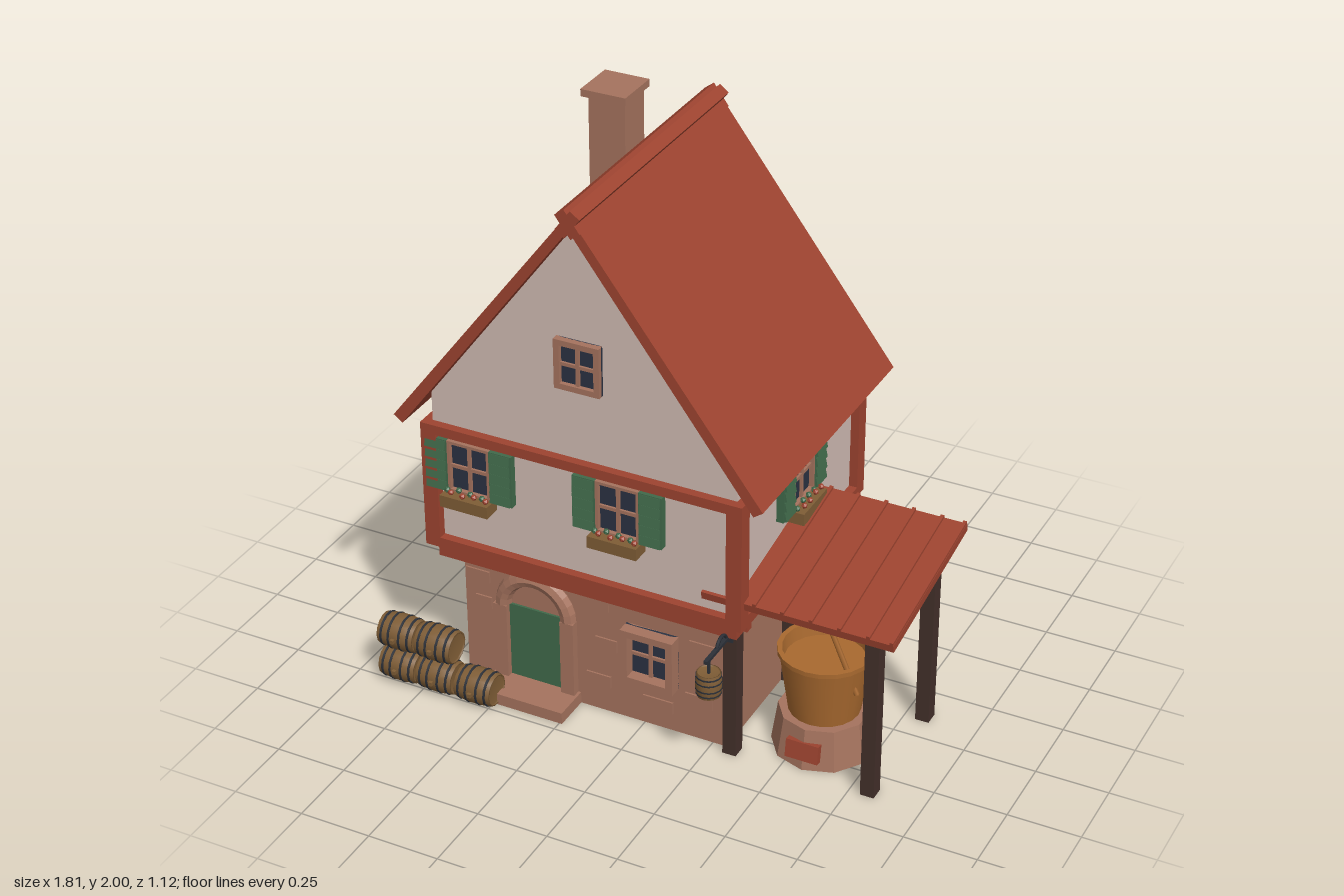
import * as THREE from 'three';

const mat = (name, color) => Object.assign(new THREE.MeshStandardMaterial({ color }), { name });

export function createModel() {
  const M = {
    plaster: mat('plaster', 0xd0bbb3),
    stone: mat('stone', 0xa5735e),
    red: mat('red timber and tile', 0x9e4430),
    green: mat('green paint', 0x40694a),
    glass: mat('window glass', 0x2b3242),
    wood: mat('barrel wood', 0x7f5d36),
    copper: mat('tub wood', 0xa8692f),
    dark: mat('dark post wood', 0x43302a),
    iron: mat('iron', 0x2c3038),
  };
  const root = new THREE.Group();
  const add = (geo, m, name, parent = root) => {
    const mesh = new THREE.Mesh(geo, m);
    mesh.name = name;
    parent.add(mesh);
    return mesh;
  };
  const group = (name, parent = root) => {
    const g = new THREE.Group();
    g.name = name;
    parent.add(g);
    return g;
  };
  // box given by its low and high limits on each axis
  const box = (m, name, x0, x1, y0, y1, z0, z1, parent) => {
    const b = add(new THREE.BoxGeometry(x1 - x0, y1 - y0, z1 - z0), m, name, parent);
    b.position.set((x0 + x1) / 2, (y0 + y1) / 2, (z0 + z1) / 2);
    return b;
  };
  const extrudeZ = (pts, z0, z1, m, name) => {
    const shape = new THREE.Shape(pts.map(p => new THREE.Vector2(...p)));
    const e = add(new THREE.ExtrudeGeometry(shape, { depth: z1 - z0, bevelEnabled: false }), m, name);
    e.position.z = z0;
    return e;
  };
  const CX = -0.185, CZ = -0.055;

  // ground floor, ledge and upper floor
  box(M.stone, 'groundFloor', -0.67, 0.30, 0, 0.49, -0.44, 0.33);
  box(M.red, 'floorLedge', -0.73, 0.36, 0.48, 0.535, -0.50, 0.39);
  box(M.plaster, 'upperFloor', -0.73, 0.36, 0.535, 1.0, -0.50, 0.39);
  for (const z of [0.275, 0.055, -0.16, -0.38])
    for (const s of [-1, 1])
      box(M.red, 'joistEnd', CX + s * 0.52 - 0.016, CX + s * 0.52 + 0.016, 0.445, 0.485, z - 0.016, z + 0.016);

  // timber frame around the upper floor
  const frame = group('timberFrame');
  for (const [y0, y1] of [[0.535, 0.572], [0.965, 1.0]]) {
    for (const z of [-0.53, 0.37]) box(M.red, 'longRail', -0.76, 0.39, y0, y1, z, z + 0.05, frame);
    for (const x of [-0.76, 0.34]) box(M.red, 'sideRail', x, x + 0.05, y0, y1, -0.53, 0.42, frame);
  }
  for (const x of [-0.76, 0.335])
    for (const z of [-0.53, 0.365]) box(M.red, 'cornerPost', x, x + 0.055, 0.572, 0.965, z, z + 0.055, frame);

  // gable, roof and ridge
  extrudeZ([[-0.73, 1.0], [0.36, 1.0], [0.36, 1.11], [CX, 1.84], [-0.73, 1.11]], -0.50, 0.39, M.plaster, 'gable');
  extrudeZ([[-0.81, 0.997], [CX, 1.835], [0.44, 0.997], [0.472, 1.02], [CX, 1.89], [-0.842, 1.02]],
    -0.555, 0.445, M.red, 'roof');
  for (const s of [-1, 1]) {
    const r = add(new THREE.BoxGeometry(0.09, 0.04, 1.012), M.red, 'ridgeBeam');
    r.position.set(CX, 1.858, CZ);
    r.rotation.z = s * 0.93;
  }
  box(M.stone, 'chimney', -0.44, -0.31, 1.3, 1.975, -0.29, -0.16);
  box(M.stone, 'chimneyCap', -0.46, -0.30, 1.975, 2.0, -0.31, -0.145);

  // framed four-pane window facing +z, with optional shutters and flower box
  function windowAt(x, y, z, turn, w, h, bar, depth, shutters) {
    const g = group('window');
    const a = w / 2, b = h / 2, t = 0.006;
    box(M.glass, 'glass', -a, a, -b, b, 0, 0.009, g);
    for (const s of [-1, 1]) {
      const xs = s * (a - bar / 2), ys = s * (b - bar / 2);
      box(M.stone, 'frameSide', xs - bar / 2, xs + bar / 2, -b, b, 0, depth, g);
      box(M.stone, 'frameRail', -a + bar, a - bar, ys - bar / 2, ys + bar / 2, 0, depth, g);
    }
    box(M.stone, 'mullion', -t, t, -b + bar, b - bar, 0, 0.018, g);
    box(M.stone, 'crossBar', -a + bar, a - bar, -t, t, 0, 0.017, g);
    if (shutters) {
      for (const s of [-1, 1]) {
        const c = s * (a + 0.041);
        box(M.green, 'shutter', c - 0.041, c + 0.041, -b, b, 0, 0.026, g);
        for (let i = 0; i < 5; i++) {
          const ys = -b + (i + 0.5) * h / 5;
          const slat = box(M.green, 'slat', c - 0.037, c + 0.037, ys - 0.016, ys + 0.016, 0.024, 0.032, g);
          slat.rotation.x = -0.2;
        }
      }
      box(M.wood, 'flowerBox', -0.088, 0.088, -b - 0.04, -b + 0.003, 0, 0.065, g);
      for (let i = 0; i < 8; i++) {
        const f = add(new THREE.IcosahedronGeometry(0.011, 0), i % 2 ? M.red : M.green, 'flower', g);
        f.position.set(-0.075 + i * 0.0214, -b + 0.011 + (i % 3) * 0.004, 0.035 + (i % 2) * 0.015);
      }
    }
    g.position.set(x, y, z);
    g.rotation.y = turn;
  }
  const upper = (x, z, turn) => windowAt(x, 0.857, z, turn, 0.155, 0.19, 0.01, 0.025, true);
  upper(-0.59, 0.39, 0);
  upper(-0.05, 0.39, 0);
  upper(-0.05, -0.50, Math.PI);
  upper(0.36, CZ, Math.PI / 2);
  upper(-0.73, CZ, -Math.PI / 2);
  windowAt(CX, 1.343, 0.39, 0, 0.16, 0.175, 0.02, 0.025);
  windowAt(CX, 1.343, -0.50, Math.PI, 0.16, 0.175, 0.02, 0.025);
  windowAt(0.03, 0.278, 0.33, 0, 0.19, 0.205, 0.025, 0.05);

  // doorway with arch, jambs and step
  box(M.green, 'door', -0.50, -0.30, 0.04, 0.325, 0.33, 0.338);
  for (const x of [-0.55, -0.30]) box(M.stone, 'doorJamb', x, x + 0.05, 0.04, 0.325, 0.33, 0.36);
  const arch = add(new THREE.TorusGeometry(0.122, 0.029, 8, 14, Math.PI), M.stone, 'doorArch');
  arch.position.set(-0.40, 0.325, 0.335);
  box(M.stone, 'doorStep', -0.56, -0.24, 0, 0.042, 0.33, 0.465);

  // raised stones in the front wall
  for (const [x, y, w] of [[-0.62, 0.40, 0.09], [-0.60, 0.30, 0.06], [-0.18, 0.42, 0.1], [-0.14, 0.27, 0.08],
    [-0.17, 0.12, 0.09], [0.05, 0.09, 0.11], [0.2, 0.15, 0.1], [0.21, 0.36, 0.09]])
    box(M.stone, 'wallStone', x - w / 2, x + w / 2, y - 0.022, y + 0.022, 0.33, 0.336);

  // lean-to on four posts
  for (const x of [0.325, 0.815])
    for (const [z, top] of [[0.34, 0.615], [-0.11, 0.69]])
      box(M.dark, 'porchPost', x - 0.024, x + 0.024, 0, top, z - 0.025, z + 0.025);
  const porch = group('porchRoof');
  porch.position.set(0.57, 0.677, 0.107);
  porch.rotation.x = 0.187;
  box(M.red, 'porchSlab', -0.33, 0.33, -0.014, 0.014, -0.297, 0.297, porch);
  for (const x of [0.425, 0.522, 0.62, 0.717, 0.815, 0.893])
    box(M.red, 'batten', x - 0.576, x - 0.564, 0.013, 0.024, -0.297, 0.297, porch);

  // mash tub on its stone oven
  const oven = add(new THREE.CylinderGeometry(0.152, 0.173, 0.145, 10), M.stone, 'ovenBase');
  oven.material.flatShading = true;
  oven.position.set(0.57, 0.0725, 0.16);
  const hatch = box(M.red, 'ovenHatch', 0.51, 0.625, 0.035, 0.10, 0.305, 0.33);
  hatch.rotation.x = -0.14;
  const tub = add(new THREE.LatheGeometry([[0, 0.145], [0.12, 0.145], [0.12, 0.145], [0.152, 0.362], [0.152, 0.362],
    [0.159, 0.362], [0.159, 0.362], [0.159, 0.378], [0.159, 0.378], [0.142, 0.378], [0.142, 0.378], [0.135, 0.33],
    [0.135, 0.33], [0, 0.33]].map(p => new THREE.Vector2(...p)), 20), M.copper, 'mashTub');
  tub.position.set(0.57, 0, 0.16);
  const stick = add(new THREE.CylinderGeometry(0.009, 0.009, 0.37, 6), M.copper, 'stirringStick');
  stick.position.set(0.63, 0.433, 0.21);
  stick.rotation.z = 0.41;

  // barrel along y, with iron hoops
  function barrel(name, len, r) {
    const g = group(name);
    const h = len / 2;
    add(new THREE.LatheGeometry([[0, -h + 0.006], [r * 0.8, -h + 0.006], [r * 0.8, -h], [r * 0.88, -h], [r * 0.97, -h / 3],
      [r * 0.97, h / 3], [r * 0.88, h], [r * 0.8, h], [r * 0.8, h - 0.006], [0, h - 0.006]]
      .map(p => new THREE.Vector2(...p)), 14), M.wood, 'staves', g);
    for (const [y, k] of [[-0.75, 0.95], [-0.3, 1], [0.3, 1], [0.75, 0.95]]) {
      const hoop = add(new THREE.CylinderGeometry(r * k, r * k, len * 0.06, 14), M.iron, 'hoop', g);
      hoop.position.y = y * h;
    }
    return g;
  }
  for (const [x, y] of [[-0.838, 0.065], [-0.695, 0.065], [-0.547, 0.065], [-0.838, 0.19], [-0.695, 0.19]]) {
    const b = barrel('stackedBarrel', 0.134, 0.064);
    b.position.set(x, y, 0.475);
    b.rotation.z = Math.PI / 2;
    box(M.wood, 'bung', x - 0.007, x + 0.007, y - 0.007, y + 0.007, 0.52, 0.547);
  }

  // hanging barrel sign on an iron bracket
  barrel('hangingBarrel', 0.085, 0.045).position.set(0.325, 0.385, 0.515);
  box(M.iron, 'bracketArm', 0.318, 0.332, 0.47, 0.482, 0.36, 0.54);
  box(M.iron, 'hangingRod', 0.321, 0.329, 0.42, 0.475, 0.511, 0.519);
  box(M.iron, 'bracketPlate', 0.312, 0.338, 0.45, 0.505, 0.36, 0.372);
  const scroll = add(new THREE.TorusGeometry(0.035, 0.006, 6, 10, Math.PI), M.iron, 'bracketScroll');
  scroll.position.set(0.325, 0.47, 0.425);
  scroll.rotation.y = Math.PI / 2;

  return root;
}
